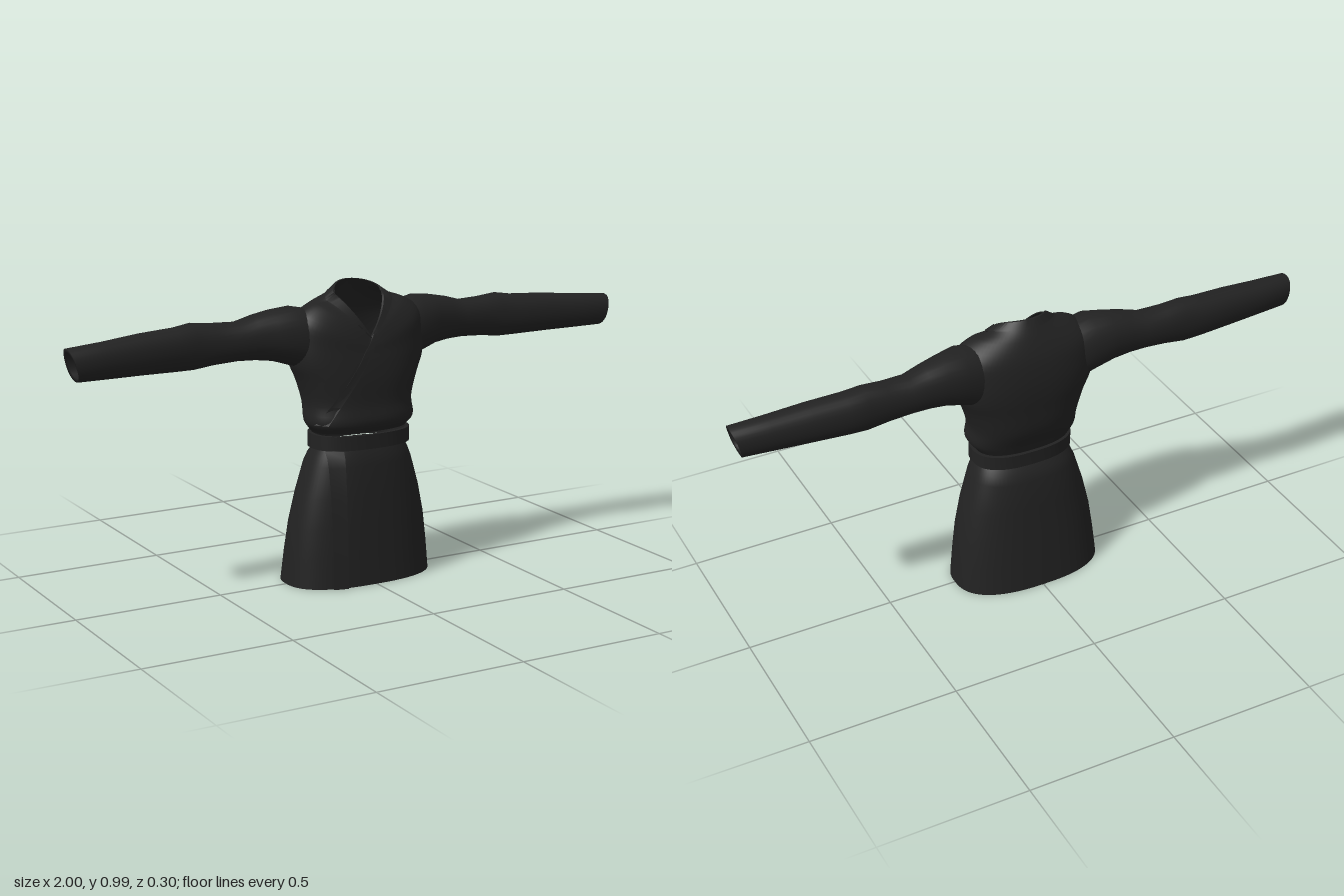
import * as THREE from 'three';
import { toCreasedNormals } from 'three/addons/utils/BufferGeometryUtils.js';

const cloth = new THREE.MeshStandardMaterial({ color: 0x222222, side: THREE.DoubleSide });
cloth.name = 'black cloth';

// Lofts closed loops: point(u, v) with u wrapping in nu steps and v from 0 to nv
function loft(point, nu, nv, { flip = false, skip = () => false } = {}) {
  const pts = [], index = [];
  for (let v = 0; v <= nv; v++) for (let u = 0; u < nu; u++) pts.push(point(u, v));
  for (let v = 0; v < nv; v++) {
    for (let u = 0; u < nu; u++) {
      const a = v * nu + u, b = v * nu + (u + 1) % nu, c = b + nu, d = a + nu;
      if (skip(pts[a].clone().add(pts[c]).multiplyScalar(0.5))) continue;
      if (flip) index.push(a, b, c, a, c, d);
      else index.push(a, c, b, a, d, c);
    }
  }
  const g = new THREE.BufferGeometry().setFromPoints(pts);
  g.setIndex(index);
  g.computeVertexNormals();
  return g;
}

function mesh(name, geometry) {
  const m = new THREE.Mesh(geometry, cloth);
  m.name = name;
  return m;
}

const signPow = (v, p) => Math.sign(v) * Math.abs(v) ** p;

// Ring around the body; its height may differ at front, side and back
function ringPoint({ a, zf, zb, yF, yS = yF, yB = yF, p = 0.8, zc = (zf + zb) / 2 }, angle) {
  const c = Math.cos(angle), s = Math.sin(angle);
  const y = s > 0 ? yF + (yS - yF) * Math.abs(c) : yS + (yB - yS) * Math.abs(s) ** 0.8;
  const z = zc + (s > 0 ? zf - zc : zc - zb) * signPow(s, p);
  return new THREE.Vector3(a * signPow(c, Math.min(1, p)), y, z);
}

const torsoRings = [
  { yF: 0.508, a: 0.165, zf: 0.115, zb: -0.075 },
  { yF: 0.54, a: 0.188, zf: 0.135, zb: -0.085 },
  { yF: 0.6, a: 0.187, zf: 0.13, zb: -0.106 },
  { yF: 0.68, a: 0.21, zf: 0.13, zb: -0.114 },
  { yF: 0.74, a: 0.235, zf: 0.125, zb: -0.118 },
  { yF: 0.77, yS: 0.81, yB: 0.8, a: 0.24, zf: 0.12, zb: -0.116 },
  { yF: 0.79, yS: 0.885, yB: 0.87, a: 0.225, zf: 0.117, zb: -0.104 },
  { yF: 0.805, yS: 0.925, yB: 0.93, a: 0.17, zf: 0.112, zb: -0.08, p: 1 },
  { yF: 0.815, yS: 0.935, yB: 0.965, a: 0.115, zf: 0.108, zb: -0.06, p: 1.3 },
  { yF: 0.82, yS: 0.952, yB: 0.988, a: 0.085, zf: 0.105, zb: -0.045, zc: 0.02, p: 1.4 },
];

const skirtRings = [
  [0.09, 0.243, 0.137, -0.132], [0, 0.252, 0.141, -0.143], [0, 0.26, 0.148, -0.15],
  [0.1, 0.25, 0.144, -0.138], [0.2, 0.237, 0.14, -0.125], [0.3, 0.215, 0.136, -0.112],
  [0.4, 0.185, 0.13, -0.1], [0.43, 0.172, 0.126, -0.09], [0.452, 0.16, 0.118, -0.072],
].map(([yF, a, zf, zb]) => ({ yF, a, zf, zb }));

// Smooth torso surface running from waist (t = 0) to neck (t = 1)
const torsoPoint = (angle, t) =>
  new THREE.CatmullRomCurve3(torsoRings.map((r) => ringPoint(r, angle))).getPoint(t);

// Angle at which a front ring reaches a given x
const angleAt = (x, a) => Math.acos(signPow(Math.max(-1, Math.min(1, x / a)), 1.25));

// Raised band between two edge curves, each returning a point for step k
function band(edge1, edge2, steps, thick) {
  const lift = (p, d) => {
    const out = new THREE.Vector3(p.x * 0.5, 0, p.z).normalize();
    return p.clone().addScaledVector(out, d);
  };
  const g = loft((u, k) => {
    const p = u < 2 ? edge1(k) : edge2(k);
    return lift(p, u === 1 || u === 2 ? thick : -0.002);
  }, 4, steps);
  return toCreasedNormals(g, 0.7);
}

// Sleeve sections: x, top, bottom, back z, front z; the last three fold into the cuff
const sleeveSections = [
  [0.17, 0.91, 0.7, -0.085, 0.075], [0.23, 0.922, 0.728, -0.095, 0.075],
  [0.3, 0.914, 0.75, -0.092, 0.055], [0.36, 0.902, 0.758, -0.088, 0.042],
  [0.42, 0.885, 0.76, -0.085, 0.032], [0.5, 0.888, 0.755, -0.085, 0.025],
  [0.57, 0.895, 0.746, -0.086, 0.022], [0.63, 0.886, 0.747, -0.085, 0.029],
  [0.75, 0.88, 0.75, -0.075, 0.035], [0.88, 0.868, 0.752, -0.06, 0.04],
  [1, 0.86, 0.754, -0.05, 0.045], [0.998, 0.848, 0.766, -0.038, 0.034],
  [0.9, 0.85, 0.766, -0.045, 0.03],
];

function sleeve(side) {
  const n = 28;
  return loft((u, v) => {
    const [x, top, bottom, zb, zf] = sleeveSections[v];
    const f = (u / n) * Math.PI * 2, c = Math.cos(f);
    const slant = x > 0.95 ? 0.028 * (1 - c) / 2 : 0;
    return new THREE.Vector3(
      side * (x - slant),
      (top + bottom) / 2 + (top - bottom) / 2 * signPow(c, 0.9),
      (zf + zb) / 2 + (zf - zb) / 2 * signPow(Math.sin(f), 0.9));
  }, n, sleeveSections.length - 1, { flip: side > 0 });
}

export function createModel() {
  const robe = new THREE.Group();
  robe.name = 'robe';
  const n = 64, turn = (u) => (u / n) * Math.PI * 2;

  // Torso with openings where the sleeves join
  const armhole = (p) => Math.abs(p.x) > 0.15 &&
    ((p.y - 0.81) / 0.06) ** 2 + ((p.z + 0.01) / 0.06) ** 2 < 1;
  robe.add(mesh('torso', loft((u, v) => torsoPoint(turn(u), v / 36), n, 36, { skip: armhole })));

  robe.add(mesh('leftSleeve', sleeve(1)), mesh('rightSleeve', sleeve(-1)));

  // Skirt with a turned-in hem
  robe.add(mesh('skirt', toCreasedNormals(
    loft((u, v) => ringPoint(skirtRings[v], turn(u)), n, skirtRings.length - 1), 0.8)));

  // Belt as a closed hollow ring
  const beltSection = [[0.455, 0], [0.503, 0], [0.503, 0.012], [0.455, 0.012], [0.455, 0]];
  robe.add(mesh('belt', toCreasedNormals(loft((u, v) => {
    const [yF, inset] = beltSection[v];
    return ringPoint({ yF, a: 0.175 - inset, zf: 0.131 - inset, zb: -0.081 + inset }, turn(u));
  }, n, 4), 0.7)));

  // Collar band around the neck
  robe.add(mesh('collar', band(
    (k) => torsoPoint(Math.PI / 2 + turn(k), 1),
    (k) => torsoPoint(Math.PI / 2 + turn(k), 0.89), n, 0.005)));

  // Overlapping lapel running down to the right hip: ring number, x
  const lapelPath = [[1, -0.183], [2, -0.145], [3, -0.092], [4, -0.05], [5, -0.03], [7, -0.008], [9, 0]];
  const lapelEdge = (width) => (k) => {
    const [ring, x] = lapelPath[k];
    return torsoPoint(angleAt(x + width, torsoRings[ring].a), ring / 9);
  };
  robe.add(mesh('lapel', band(lapelEdge(0), lapelEdge(0.03), lapelPath.length - 1, 0.004)));

  // Front flap edge down the skirt
  const flapEdge = (shift) => (k) => {
    const ring = skirtRings[k + 2];
    return ringPoint(ring, angleAt(-0.1 - shift - 0.004 * (6 - k) / 6, ring.a));
  };
  robe.add(mesh('skirtFlap', band(flapEdge(0), flapEdge(0.048), 6, 0.009)));

  return robe;
}
